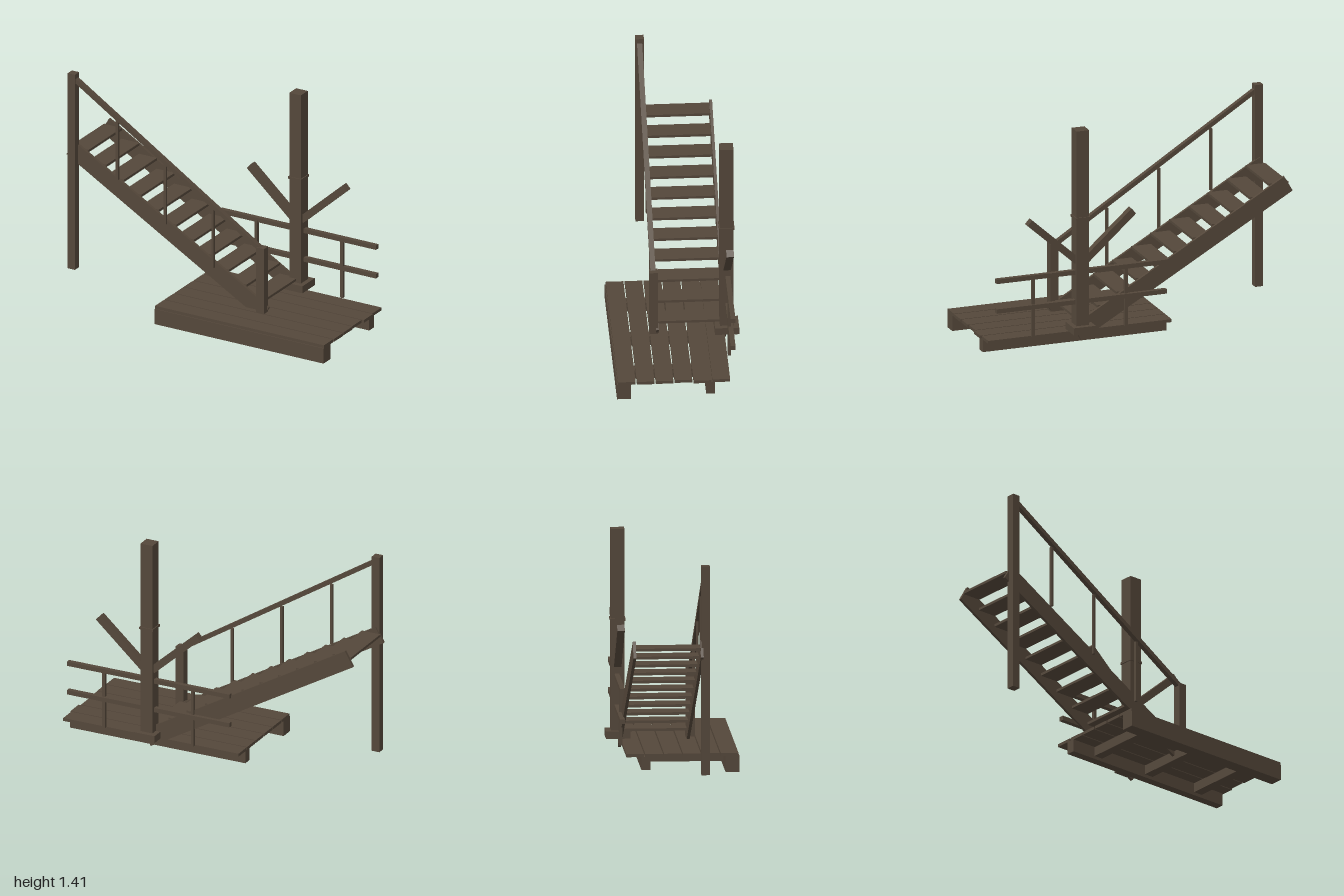
import * as THREE from 'three';

export function createModel() {
  const root = new THREE.Group();
  root.name = 'woodenStaircase';
  const wood = new THREE.MeshStandardMaterial({ color: 0x54473a });
  wood.name = 'darkWood';

  const group = (name) => {
    const g = new THREE.Group();
    g.name = name;
    root.add(g);
    return g;
  };

  // Box given by its min and max on each axis
  const block = (parent, name, [x0, x1], [y0, y1], [z0, z1]) => {
    const m = new THREE.Mesh(new THREE.BoxGeometry(x1 - x0, y1 - y0, z1 - z0), wood);
    m.name = name;
    m.position.set((x0 + x1) / 2, (y0 + y1) / 2, (z0 + z1) / 2);
    parent.add(m);
    return m;
  };

  // Sloping timber between two points in the xy plane
  const timber = (parent, name, [ax, ay], [bx, by], z, height, depth) => {
    const length = Math.hypot(bx - ax, by - ay);
    const m = new THREE.Mesh(new THREE.BoxGeometry(length, height, depth), wood);
    m.name = name;
    m.position.set((ax + bx) / 2, (ay + by) / 2, z);
    m.rotation.z = Math.atan2(by - ay, bx - ax);
    parent.add(m);
    return m;
  };

  // Platform: two bearers, three joists, six planks
  const platform = group('platform');
  block(platform, 'frontBeam', [-0.21, 0.99], [0, 0.1], [0.305, 0.39]);
  block(platform, 'rearBeam', [-0.21, 0.99], [0.02, 0.1], [-0.21, -0.155]);
  for (const x of [-0.01, 0.395, 0.79]) {
    block(platform, 'joist', [x - 0.03, x + 0.03], [0.04, 0.1], [-0.155, 0.305]);
  }
  const plankEnds = [0.99, 0.992, 0.99, 0.985, 0.998, 0.99];
  plankEnds.forEach((end, i) => {
    const z = 0.33 - i * 0.1155;
    block(platform, 'plank', [-0.21, end], [0.1, 0.119], [z - 0.054, z + 0.054]);
  });

  // Stair flight
  const stairs = group('stairs');
  for (const z of [-0.303, 0.109]) {
    timber(stairs, 'stringer', [-0.97, 0.903], [0.4125, 0.1045], z, 0.11, 0.018);
  }
  for (let i = 0; i < 11; i++) {
    const x = -0.913 + i * 0.1247;
    const y = 0.902 - i * 0.072;
    block(stairs, 'tread', [x - 0.064, x + 0.064], [y - 0.008, y + 0.008], [-0.295, 0.102]);
  }

  // Stair handrail with its posts and balusters
  const handrail = group('stairRailing');
  block(handrail, 'upperPost', [-0.966, -0.914], [0.12, 1.413], [0.106, 0.158]);
  block(handrail, 'newelPost', [0.373, 0.427], [0.119, 0.55], [0.104, 0.156]);
  timber(handrail, 'handrail', [-0.92, 1.372], [0.395, 0.535], 0.133, 0.027, 0.032);
  for (const [x, y0, y1] of [[-0.63, 0.77, 1.165], [-0.29, 0.55, 0.95], [0.05, 0.335, 0.735]]) {
    block(handrail, 'baluster', [x - 0.008, x + 0.008], [y0, y1], [0.118, 0.134]);
  }

  // Main post with base block, collar and two braces
  const mainPost = group('mainPost');
  block(mainPost, 'postBase', [0.32, 0.463], [0.119, 0.165], [-0.39, -0.242]);
  block(mainPost, 'post', [0.351, 0.433], [0.165, 1.413], [-0.357, -0.274]);
  block(mainPost, 'collar', [0.345, 0.439], [0.845, 0.859], [-0.363, -0.268]);
  for (const side of [-1, 1]) {
    timber(mainPost, 'brace', [0.392 + side * 0.03, 0.577],
      [0.392 + side * 0.34, 0.855], -0.317, 0.045, 0.046);
  }

  // Rear platform railing
  const railing = group('rearRailing');
  for (const y of [0.313, 0.503]) {
    block(railing, 'rail', [-0.165, 0.947], [y - 0.014, y + 0.014], [-0.337, -0.307]);
  }
  for (const x of [0.095, 0.703]) {
    block(railing, 'railPost', [x - 0.01, x + 0.01], [0.119, 0.5], [-0.325, -0.305]);
  }

  return root;
}
